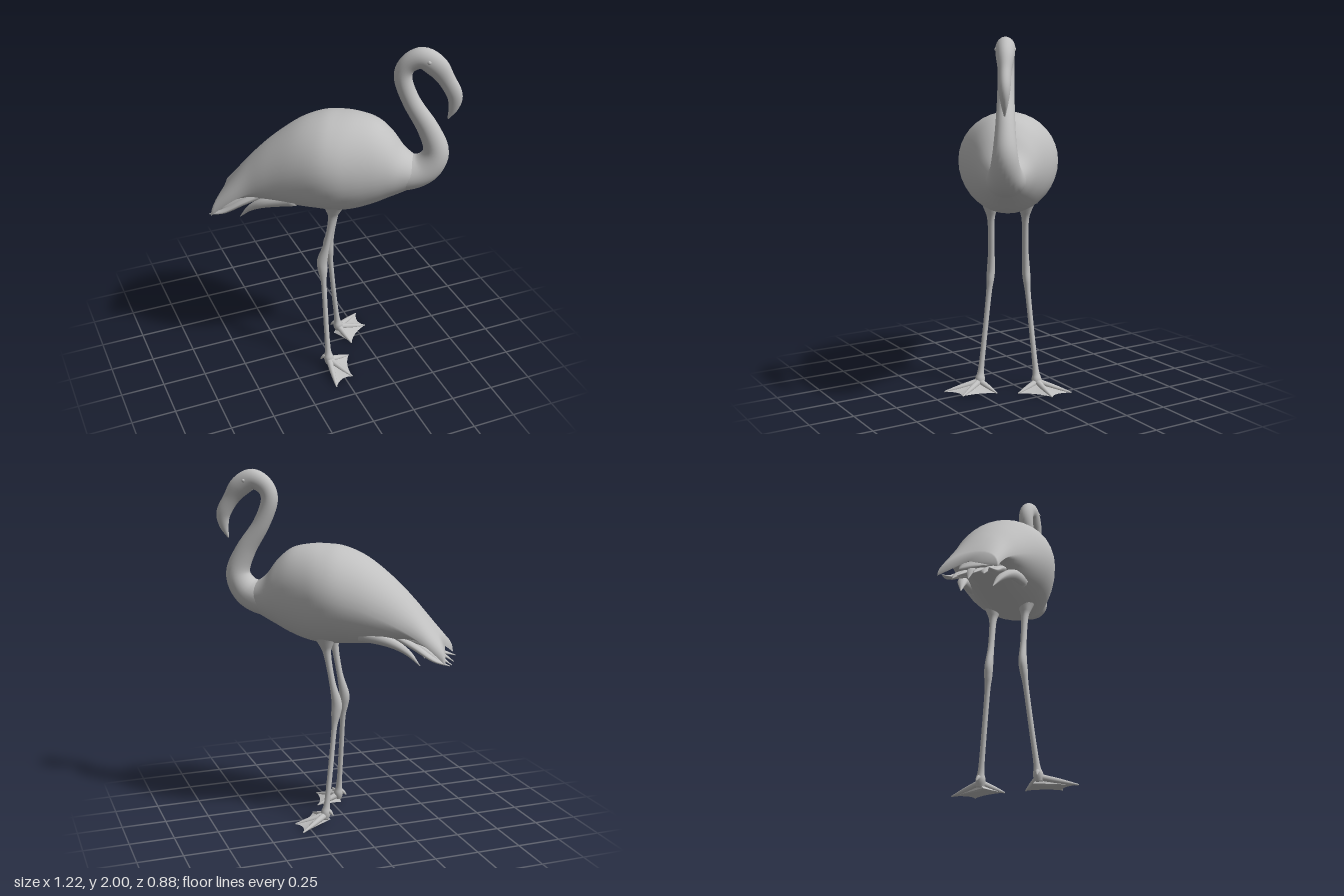
import * as THREE from 'three';

const V = (x, y, z) => new THREE.Vector3(x, y, z);
const plumage = new THREE.MeshStandardMaterial({ color: 0xc0c0c0 });
plumage.name = 'plainGrey';

// Closed smooth skin over a list of rings
function skin(rings) {
  const n = rings[0].length, pos = [], idx = [];
  rings.forEach(r => r.forEach(p => pos.push(p.x, p.y, p.z)));
  for (let i = 0; i < rings.length - 1; i++) {
    for (let j = 0; j < n; j++) {
      const a = i * n + j, b = i * n + (j + 1) % n;
      idx.push(a, a + n, b, a + n, b + n, b);
    }
  }
  [0, rings.length - 1].forEach((k, end) => {
    const c = rings[k].reduce((s, p) => s.add(p), V(0, 0, 0)).divideScalar(n);
    const ci = pos.length / 3;
    pos.push(c.x, c.y, c.z);
    for (let j = 0; j < n; j++) {
      const a = k * n + j, b = k * n + (j + 1) % n;
      idx.push(ci, end ? b : a, end ? a : b);
    }
  });
  const g = new THREE.BufferGeometry();
  g.setAttribute('position', new THREE.Float32BufferAttribute(pos, 3));
  g.setIndex(idx);
  g.computeVertexNormals();
  return g;
}

const spline = pts => new THREE.CatmullRomCurve3(pts, false, 'catmullrom', 0.5);

// Elliptical limb: points are [x, y, z, radius in profile, radius sideways]
function limb(points, steps = 6, sides = 16) {
  const path = spline(points.map(p => V(p[0], p[1], p[2])));
  const size = spline(points.map(p => V(p[3], p[4] ?? p[3], 0)));
  const rings = [], count = (points.length - 1) * steps;
  for (let i = 0; i <= count; i++) {
    const c = path.getPoint(i / count), s = size.getPoint(i / count);
    const t = path.getTangent(i / count);
    const n = t.clone().cross(V(0, 0, 1)).normalize();
    const l = n.clone().cross(t);
    rings.push(Array.from({ length: sides }, (_, j) => {
      const a = j / sides * Math.PI * 2;
      return c.clone().addScaledVector(n, Math.cos(a) * Math.max(s.x, 0.002))
        .addScaledVector(l, Math.sin(a) * Math.max(s.y, 0.002));
    }));
  }
  return skin(rings);
}

// Body and folded wings: [x, top, bottom, half width, height of the widest line, tip sweep]
function bodyGeometry() {
  const st = [
    [-0.55, 1.10, 1.06, 0.165, 0.97, 0.05],
    [-0.49, 1.18, 1.08, 0.167, 1.05, 0.02],
    [-0.40, 1.29, 1.08, 0.173, 1.13, 0],
    [-0.28, 1.41, 1.06, 0.205, 1.20, 0],
    [-0.13, 1.525, 1.04, 0.248, 1.27, 0],
    [0.00, 1.58, 1.035, 0.275, 1.31, 0],
    [0.10, 1.592, 1.03, 0.273, 1.32, 0],
    [0.20, 1.59, 1.045, 0.245, 1.32, 0],
    [0.30, 1.565, 1.08, 0.205, 1.32, 0],
    [0.38, 1.50, 1.12, 0.165, 1.31, 0],
    [0.45, 1.41, 1.155, 0.125, 1.29, 0],
    [0.53, 1.355, 1.20, 0.085, 1.28, 0],
    [0.60, 1.33, 1.25, 0.04, 1.29, 0],
  ];
  const a = spline(st.map(s => V(s[0], s[1], s[2])));
  const b = spline(st.map(s => V(s[3], s[4], s[5])));
  const rings = [], count = 60, sides = 36;
  for (let i = 0; i <= count; i++) {
    const p = a.getPoint(i / count), q = b.getPoint(i / count);
    rings.push(Array.from({ length: sides }, (_, j) => {
      const ang = j / sides * Math.PI * 2, c = Math.cos(ang), s = Math.sin(ang);
      const y = q.y + c * (c > 0 ? p.y - q.y : q.y - p.z);
      return V(p.x - q.z * s * s, y, -s * q.x);
    }));
  }
  return skin(rings);
}

// Webbed sole: scalloped rim between toe tips, raised to the ankle
function webGeometry(tips, ankle, side) {
  const rim = [];
  tips.forEach((p, i) => {
    const q = tips[(i + 1) % tips.length];
    const mid = p.clone().add(q).multiplyScalar(0.5).lerp(ankle, 0.28).setY(0.008);
    rim.push(...new THREE.QuadraticBezierCurve3(p, mid, q).getPoints(6).slice(0, 6));
  });
  if (side < 0) rim.reverse();
  const pos = [];
  rim.forEach((p, i) => {
    const q = rim[(i + 1) % rim.length];
    const top = ankle.clone().setY(0.045), low = ankle.clone().setY(0);
    [top, p, q, low, q, p].forEach(v => pos.push(v.x, v.y, v.z));
  });
  const g = new THREE.BufferGeometry();
  g.setAttribute('position', new THREE.Float32BufferAttribute(pos, 3));
  g.computeVertexNormals();
  return g;
}

export function createModel() {
  const model = new THREE.Group();
  model.name = 'wadingBird';
  const turned = new THREE.Group();
  turned.name = 'bird';
  turned.rotation.y = -0.571;
  turned.position.set(-0.016, 0, 0.025);
  model.add(turned);
  const add = (name, geometry, parent = turned) => {
    const m = new THREE.Mesh(geometry, plumage);
    m.name = name;
    parent.add(m);
    return m;
  };

  add('bodyAndWings', bodyGeometry());

  // S-shaped neck running into the head and hooked beak
  add('neckHeadBeak', limb([
    [0.30, 1.28, 0, 0.11, 0.13], [0.46, 1.27, 0, 0.10, 0.11],
    [0.57, 1.31, 0, 0.085, 0.085], [0.622, 1.41, 0, 0.07, 0.065],
    [0.575, 1.54, 0, 0.058, 0.052], [0.48, 1.69, 0, 0.048, 0.045],
    [0.43, 1.82, 0, 0.048, 0.044], [0.452, 1.90, 0, 0.05, 0.045],
    [0.525, 1.94, 0, 0.058, 0.05], [0.60, 1.90, 0, 0.06, 0.046],
    [0.655, 1.83, 0, 0.046, 0.034], [0.70, 1.75, 0, 0.042, 0.03],
    [0.70, 1.68, 0, 0.028, 0.02], [0.675, 1.61, 0, 0.004, 0.004],
  ], 6, 24));

  // Rump and pointed feathers under the wing tips
  add('rump', limb([
    [-0.05, 1.2, 0, 0.12, 0.16], [-0.25, 1.14, 0, 0.09, 0.14],
    [-0.42, 1.09, 0, 0.05, 0.11], [-0.54, 1.02, 0, 0.01, 0.07],
  ]));
  for (let i = -3; i <= 3; i++) {
    const z = i * 0.036, len = i % 2 ? 0.62 : 0.58, drop = Math.abs(i) * 0.008;
    add('tailFeather', limb([
      [-0.28, 1.12, z * 0.8, 0.02, 0.03], [-0.42, 1.075 - drop, z, 0.018, 0.032],
      [-0.53, 1.01 - drop, z * 1.1, 0.012, 0.027], [-len, 0.935 + drop, z * 1.2, 0.002, 0.002],
    ], 5, 10));
  }
  for (const s of [1, -1]) {
    add('lowerFeather', limb([
      [-0.12, 1.12, s * 0.15, 0.04, 0.03], [-0.28, 1.08, s * 0.14, 0.03, 0.03],
      [-0.38, 1.02, s * 0.11, 0.018, 0.024], [-0.45, 0.94, s * 0.09, 0.002, 0.002],
    ], 5, 10));

    const eye = add('eye', new THREE.SphereGeometry(0.011, 12, 8));
    eye.position.set(0.565, 1.935, s * 0.044);

    // Leg with thigh flare and knobbly joint
    const leg = new THREE.Group();
    leg.name = s > 0 ? 'rightLeg' : 'leftLeg';
    turned.add(leg);
    add('shank', limb([
      [0.09, 1.13, s * 0.10, 0.09, 0.07], [0.083, 1.045, s * 0.097, 0.045, 0.036],
      [0.076, 0.98, s * 0.096, 0.022, 0.02], [0.048, 0.82, s * 0.096, 0.018],
      [0.022, 0.70, s * 0.099, 0.03, 0.023], [0.026, 0.635, s * 0.104, 0.027, 0.022],
      [0.034, 0.55, s * 0.112, 0.016], [0.05, 0.32, s * 0.135, 0.015],
      [0.066, 0.12, s * 0.156, 0.017], [0.072, 0.06, s * 0.162, 0.028],
      [0.078, 0.02, s * 0.166, 0.022],
    ], 5), leg);

    // Webbed foot with three toes and a hind spur
    const ankle = V(0.075, 0.03, s * 0.165);
    const tips = [[0.155, 0.36], [0.23, 0.25], [0.176, 0.06], [0.05, 0.14]]
      .map(([x, z]) => V(x, 0.008, s * z));
    add('web', webGeometry(tips, ankle, s), leg);
    tips.slice(0, 3).forEach(t => {
      const m = ankle.clone().lerp(t, 0.55);
      add('toe', limb([
        [ankle.x, 0.045, ankle.z, 0.02], [m.x, 0.024, m.z, 0.014],
        [t.x, 0.008, t.z, 0.004],
      ], 5, 10), leg);
    });
    add('hindToe', limb([
      [0.07, 0.075, s * 0.162, 0.015], [0.045, 0.065, s * 0.166, 0.012],
      [0.026, 0.045, s * 0.17, 0.003],
    ], 4, 8), leg);
  }
  return model;
}
